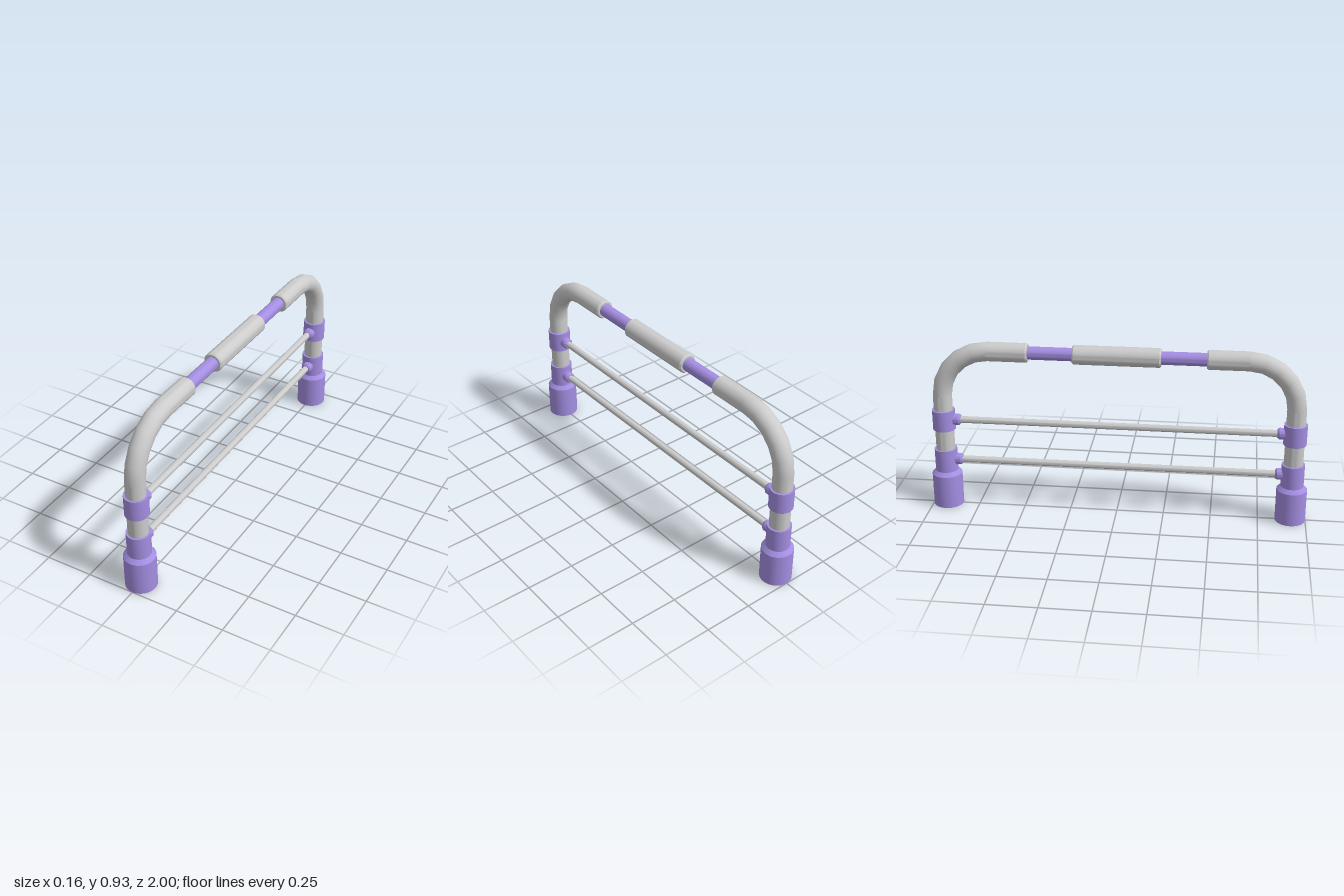
import * as THREE from 'three';
import { toCreasedNormals } from 'three/addons/utils/BufferGeometryUtils.js';

const grey = new THREE.MeshStandardMaterial({ color: 0xcccccc });
const purple = new THREE.MeshStandardMaterial({ color: 0xa48ee2 });

const LEG_Z = 0.92;    // leg axis
const TOP_Y = 0.875;   // top rail axis
const PIPE = 0.05;     // pipe radius
const BEND = 0.25;     // elbow radius
const SIDES = 32;

// Turned part from [radius, height] pairs, bottom to top
function turned(name, profile, material) {
  const points = profile.map(([r, y]) => new THREE.Vector2(r, y));
  const geometry = toCreasedNormals(new THREE.LatheGeometry(points, SIDES), 0.5);
  const mesh = new THREE.Mesh(geometry, material);
  mesh.name = name;
  return mesh;
}

// Turned part laid along z at height y
function alongZ(name, profile, material, y) {
  const mesh = turned(name, profile, material);
  mesh.rotation.x = Math.PI / 2;
  mesh.position.y = y;
  return mesh;
}

const rod = (r, a, b) => [[0, a], [r, a], [r, b], [0, b]];

function createSide() {
  const side = new THREE.Group();

  // Foot with chamfered shoulder and lower sleeve in one piece
  const foot = turned('foot', [
    [0, 0], [0.08, 0], [0.08, 0.18], [0.06, 0.2], [0.06, 0.322], [0, 0.322],
  ], purple);
  const leg = turned('leg', [[PIPE, 0.3], [PIPE, TOP_Y - BEND]], grey);
  const collar = turned('collar', rod(0.06, 0.435, 0.545), purple);
  for (const part of [foot, leg, collar]) {
    part.position.z = LEG_Z;
    side.add(part);
  }

  // Quarter bend from leg to top rail
  const elbow = new THREE.Mesh(
    new THREE.TorusGeometry(BEND, PIPE, SIDES, 5, Math.PI / 2).rotateY(-Math.PI / 2),
    grey,
  );
  elbow.name = 'elbow';
  elbow.position.set(0, TOP_Y - BEND, LEG_Z - BEND);
  side.add(elbow);

  // Straight end of the padded rail, chamfered at the opening
  side.add(alongZ('railEnd', [
    [0, 0.457], [0.044, 0.457], [PIPE, 0.465], [PIPE, LEG_Z - BEND],
  ], grey, TOP_Y));

  // Exposed core between the pads
  side.add(alongZ('railCore', rod(0.034, 0.2, 0.48), purple, TOP_Y));

  // Sockets that hold the cross bars
  for (const y of [0.262, 0.49]) {
    side.add(alongZ('barSocket', [
      [0, 0.828], [0.022, 0.828], [0.03, 0.838], [0.03, 0.885], [0, 0.885],
    ], purple, y));
  }
  return side;
}

export function createModel() {
  const model = new THREE.Group();
  model.name = 'guardRail';

  const front = createSide();
  front.name = 'frontSide';
  const back = createSide();
  back.name = 'backSide';
  back.rotation.y = Math.PI;
  model.add(front, back);

  // Centre pad of the top rail
  model.add(alongZ('centrePad', [
    [0, -0.227], [0.044, -0.227], [PIPE, -0.219],
    [PIPE, 0.219], [0.044, 0.227], [0, 0.227],
  ], grey, TOP_Y));

  // Thin cross bars
  for (const y of [0.262, 0.49]) {
    model.add(alongZ('crossBar', rod(0.018, -0.84, 0.84), grey, y));
  }
  return model;
}
